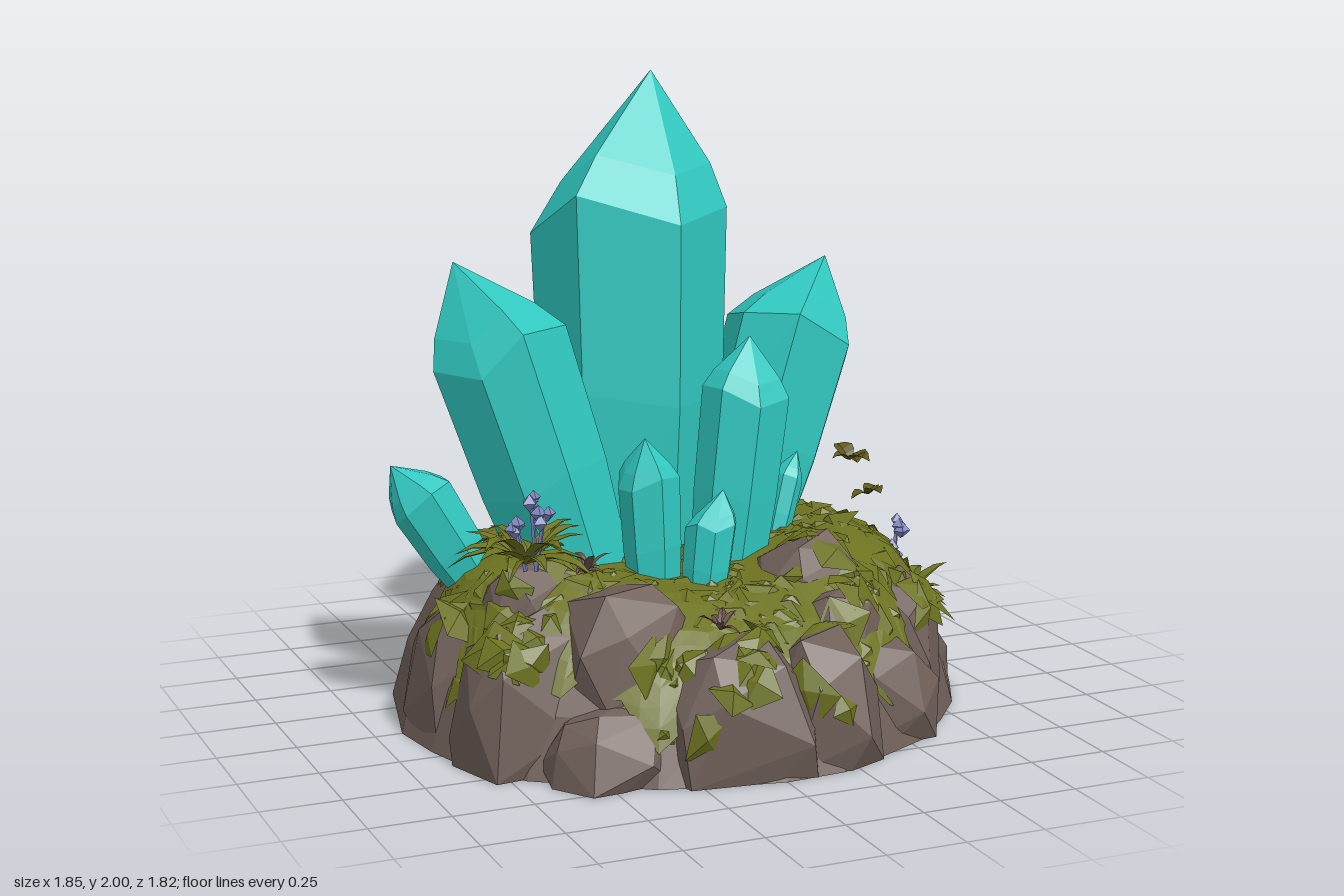
import * as THREE from 'three';
import { mergeGeometries } from 'three/addons/utils/BufferGeometryUtils.js';
import { ConvexGeometry } from 'three/addons/geometries/ConvexGeometry.js';

const V = (x, y, z) => new THREE.Vector3(x, y, z);
const { lerp, clamp } = THREE.MathUtils;
const mat = (name, color, side = THREE.FrontSide) => {
  const m = new THREE.MeshStandardMaterial({ color, side });
  m.name = name;
  return m;
};
let seed = 7;
const rnd = (a = 0, b = 1) => {
  seed = (seed * 16807) % 2147483647;
  return a + (b - a) * seed / 2147483647;
};

// Faceted skin through rings of points
function loft(rings, closed = true) {
  const pos = [], tri = new THREE.Triangle();
  const add = (a, b, c) => {
    if (tri.set(a, b, c).getArea() > 1e-8) for (const p of [a, b, c]) pos.push(p.x, p.y, p.z);
  };
  for (let i = 0; i < rings.length - 1; i++) {
    const a = rings[i], b = rings[i + 1], n = a.length;
    for (let j = 0; j < (closed ? n : n - 1); j++) {
      const k = (j + 1) % n;
      add(a[j], a[k], b[k]);
      add(a[j], b[k], b[j]);
    }
  }
  const g = new THREE.BufferGeometry();
  g.setAttribute('position', new THREE.Float32BufferAttribute(pos, 3));
  g.computeVertexNormals();
  return g;
}

// Crystal: tapered prism that widens to its shoulder, then a bevelled point
function crystal(base, shoulder, tip, r0, r1) {
  const [b, s, t] = [base, shoulder, tip].map(p => V(...p));
  const axis = s.clone().sub(b).normalize();
  const u = V(0, 0, 1).addScaledVector(axis, -axis.z).normalize();
  const v = axis.clone().cross(u);
  const n = 7, start = rnd(0, 1);
  const spokes = Array.from({ length: n }, (_, i) => ({
    a: start + (i + rnd(-0.2, 0.2)) / n * Math.PI * 2, h: rnd(-0.25, 0.25), w: rnd(0.97, 1.08),
  }));
  const ring = (c, r, tilt) => spokes.map(({ a, h, w }) => c.clone()
    .addScaledVector(u, Math.cos(a) * r * w).addScaledVector(v, Math.sin(a) * r * w)
    .addScaledVector(axis, h * tilt * r1));
  return loft([
    ring(b, r0, 0), ring(b.clone().lerp(s, 0.5), lerp(r0, r1, 0.75), 0.5), ring(s, r1, 1),
    ring(s.clone().lerp(t, 0.32), r1 * 0.76, 0.7), spokes.map(() => t),
  ]);
}

// Mound profiles as [radius, height], blended by direction
const BACK = [[.93, 0], [.86, .15], [.77, .3], [.67, .43], [.56, .49], [.35, .53], [0, .46]];
const SIDE = [[.91, 0], [.86, .2], [.78, .36], [.7, .48], [.56, .56], [.38, .53], [0, .46]];
const FRONT = [[.86, 0], [.79, .17], [.71, .29], [.6, .38], [.45, .45], [.28, .45], [0, .45]];

// Point on the mound: u runs from the foot (0) to the middle (6)
function moundPoint(u, a, lift) {
  const i = Math.min(5, Math.floor(u)), f = u - i;
  const c = Math.cos(a), end = c > 0 ? FRONT : BACK;
  const at = k => lerp(lerp(SIDE[i][k], SIDE[i + 1][k], f), lerp(end[i][k], end[i + 1][k], f), c * c);
  const r = at(0) * (1 + 0.014 * Math.sin(5 * a + 1) + 0.012 * Math.sin(11 * a)) + lift * (1 - u / 6);
  return V(r * Math.sin(a), at(1) + lift, r * Math.cos(a));
}
const around = (n, point) => Array.from({ length: n }, (_, j) => point(j / n * Math.PI * 2));

// Ragged lower edge of the moss, low in front and high behind
const mossEdge = a => clamp(2.05 - 1.15 * Math.cos(a) + 0.35 * Math.sin(7 * a + 1)
  + 0.25 * Math.sin(17 * a) + 0.25 * Math.sin(31 * a), 0.5, 4.5);

// Blocky faceted boulder, narrower at the top, resting on the ground
function boulder([x, y, z, rx, ry, rz]) {
  const pts = [], block = c => Math.sign(c) * Math.abs(c) ** 0.75;
  for (let i = 0; i < 24; i++) {
    const h = 1 - 2 * (i + 0.5) / 24, a = i * 2.4 + rnd(-0.3, 0.3), q = Math.sqrt(1 - h * h);
    const k = rnd(0.92, 1.04), wide = k * (1.03 - 0.2 * Math.max(0, h));
    pts.push(V(x + rx * block(q * Math.cos(a)) * wide, Math.max(0, y + ry * block(h) * k),
      z + rz * block(q * Math.sin(a)) * wide));
  }
  return new ConvexGeometry(pts);
}

// Arching, folded leaf blade
function blade(origin, a, len, width, rise, droop) {
  const dir = V(Math.sin(a), 0, Math.cos(a)), across = V(Math.cos(a), 0, -Math.sin(a));
  const rings = [0.35, 0.9, 1, 0.65, 0].map((w, i) => {
    const t = i / 4;
    const c = V(...origin).addScaledVector(dir, len * t);
    c.y += len * (rise * t - droop * t * t);
    return [1, 0, -1].map(s => {
      const p = c.clone().addScaledVector(across, s * w * width / 2);
      if (s) p.y += width * 0.2 * w;
      return p;
    });
  });
  return loft(rings, false);
}

const CRYSTALS = [
  ['mainCrystal', [-.02, .36, -.27], [-.015, 1.56, -.315], [.06, 2, -.32], .24, .315],
  ['leftCrystal', [-.31, .36, .03], [-.555, 1.18, -.075], [-.68, 1.45, -.13], .16, .212],
  ['rightCrystal', [.34, .36, -.3], [.585, 1.12, -.34], [.72, 1.35, -.38], .175, .225],
  ['frontCrystal', [.15, .36, .08], [.235, .99, .05], [.25, 1.18, .04], .11, .135],
  ['smallCrystal', [-.14, .36, .2], [-.15, .78, .17], [-.165, .91, .17], .075, .1],
  ['tinyFrontCrystal', [-.01, .36, .27], [.03, .63, .25], [.07, .74, .24], .06, .08],
  ['tinyRightCrystal', [.34, .46, .02], [.41, .69, -.01], [.45, .775, -.02], .04, .052],
  ['outerLeftCrystal', [-.62, .4, -.05], [-.81, .72, -.09], [-.9, .83, -.11], .07, .105],
];
// x, y, z, then radii
const BOULDERS = [
  [-.09, .08, .65, .26, .34, .27], [-.34, .28, .45, .23, .27, .22], [.2, .08, .65, .2, .32, .24],
  [.33, .36, .3, .2, .24, .19], [-.65, .1, .36, .22, .37, .22], [-.46, .06, .6, .21, .18, .19],
  [.45, .08, .54, .2, .25, .19], [.6, .16, .31, .2, .31, .22], [.75, .06, .14, .14, .2, .22],
  [-.75, .1, .06, .15, .34, .22], [-.56, .36, .2, .18, .22, .18], [.33, .26, .5, .17, .22, .14],
];

export function createModel() {
  seed = 7;
  const model = new THREE.Group();
  const crystalMat = mat('turquoise crystal', 0x30c7bf);
  const rockMat = mat('brown rock', 0x6f5f58);
  const mossMat = mat('moss green', 0x6c7220, THREE.DoubleSide);
  const leafMat = mat('dry leaf', 0x5a5518, THREE.DoubleSide);
  const sprigMat = mat('dusky sprig', 0x6a504c, THREE.DoubleSide);
  const flowerMat = mat('lilac flower', 0x8087bf);
  const add = (name, geometry, material) => {
    const m = new THREE.Mesh(geometry, material);
    m.name = name;
    model.add(m);
    return m;
  };

  for (const [name, ...args] of CRYSTALS) add(name, crystal(...args), crystalMat);

  // Rock mound with a flat underside, and boulders over its front
  const rings = [0, 1, 2, 3, 4, 5, 6].map(u => around(28, a => moundPoint(u, a, 0)));
  const mound = add('rockMound', loft([rings[0].map(() => V(0, 0, 0)), ...rings]), rockMat);
  const boulders = add('boulders', mergeGeometries(BOULDERS.map(boulder)), rockMat);

  // Moss carpet from its ragged edge to the middle
  const carpet = Array.from({ length: 15 }, (_, i) =>
    around(84, a => moundPoint(lerp(mossEdge(a), 6, i / 14), a, 0.014)));
  add('mossCarpet', loft(carpet), mossMat);

  // Ragged moss tufts, dropped from above and pressed on from the sides
  const ray = new THREE.Raycaster(), tufts = [];
  for (let i = 0; i < 1100; i++) {
    const a = rnd(0, Math.PI * 2), out = V(Math.sin(a), 0, Math.cos(a));
    const r = 0.9 * Math.sqrt(rnd(0.06, 1)), y = rnd(0.08, 0.5), chance = rnd();
    if (i % 3) ray.set(out.multiplyScalar(r).setY(1.5), V(0, -1, 0));
    else ray.set(out.clone().multiplyScalar(1.5).setY(y), out.negate());
    const hit = ray.intersectObjects([mound, boulders])[0];
    if (!hit || hit.point.y < moundPoint(mossEdge(a), a, 0).y) continue;
    if (chance > (hit.object === boulders ? 0.17 : hit.point.z > 0 ? 0.6 : 0.35)) continue;
    const size = rnd(0.05, 0.1), normal = hit.face.normal;
    const g = new THREE.ConeGeometry(size, rnd(0.02, 0.045), 4, 1, true).toNonIndexed();
    g.applyMatrix4(new THREE.Matrix4().makeShear(rnd(-.5, .5), rnd(-.3, .3), 0, 0, rnd(-.5, .5), rnd(-.3, .3)));
    g.rotateY(rnd(0, 6));
    g.applyQuaternion(new THREE.Quaternion().setFromUnitVectors(V(0, 1, 0), normal));
    g.translate(...hit.point.clone().addScaledVector(normal, 0.008));
    g.computeVertexNormals();
    tufts.push(g);
  }
  add('mossTufts', mergeGeometries(tufts), mossMat);

  // Leafy plants: origin, leaf count, length, width, rise, material
  const PLANTS = [
    ['leftFern', [-.6, .58, .28], 20, .24, .06, .9, mossMat],
    ['rightFern', [.78, .26, .11], 18, .17, .055, 1, mossMat],
    ['frontSprig', [-.12, .42, .65], 7, .08, .028, 1.1, sprigMat],
    ['ledgeSprig', [-.43, .55, .34], 7, .08, .028, 1.1, sprigMat],
    ['upperLeaves', [.73, .68, -.2], 5, .08, .085, 1, leafMat],
    ['lowerLeaves', [.79, .56, -.18], 3, .07, .07, .8, leafMat],
  ];
  for (const [name, o, n, len, width, rise, material] of PLANTS) {
    const leaves = Array.from({ length: n }, (_, i) =>
      blade(o, i * 2.4 + rnd(-.3, .3), len * rnd(.7, 1.08), width * rnd(.7, 1.1), rise * rnd(.6, 1.4), rnd(.5, .9)));
    add(name, mergeGeometries(leaves), material);
  }

  // Flower stalks: foot, then head
  const STALKS = [
    [[-.57, .56, .29], [-.59, .78, .31]], [[-.57, .56, .29], [-.56, .73, .33]], [[-.6, .56, .28], [-.63, .7, .28]],
    [[.74, .24, .1], [.765, .52, .08]], [[.75, .24, .12], [.755, .44, .1]], [[.7, .25, .14], [.65, .37, .16]],
  ];
  const parts = [];
  for (const [foot, head] of STALKS) {
    const f = V(...foot), h = V(...head);
    parts.push(new THREE.TubeGeometry(new THREE.LineCurve3(f, h), 1, 0.007, 4).toNonIndexed());
    for (let i = 0; i < 4; i++) {
      parts.push(new THREE.OctahedronGeometry(rnd(.02, .028)).rotateY(i)
        .translate(h.x + rnd(-.018, .018), h.y + rnd(-.03, .02), h.z + rnd(-.018, .018)));
    }
  }
  parts.forEach(g => g.computeVertexNormals());
  add('flowers', mergeGeometries(parts), flowerMat);
  return model;
}
